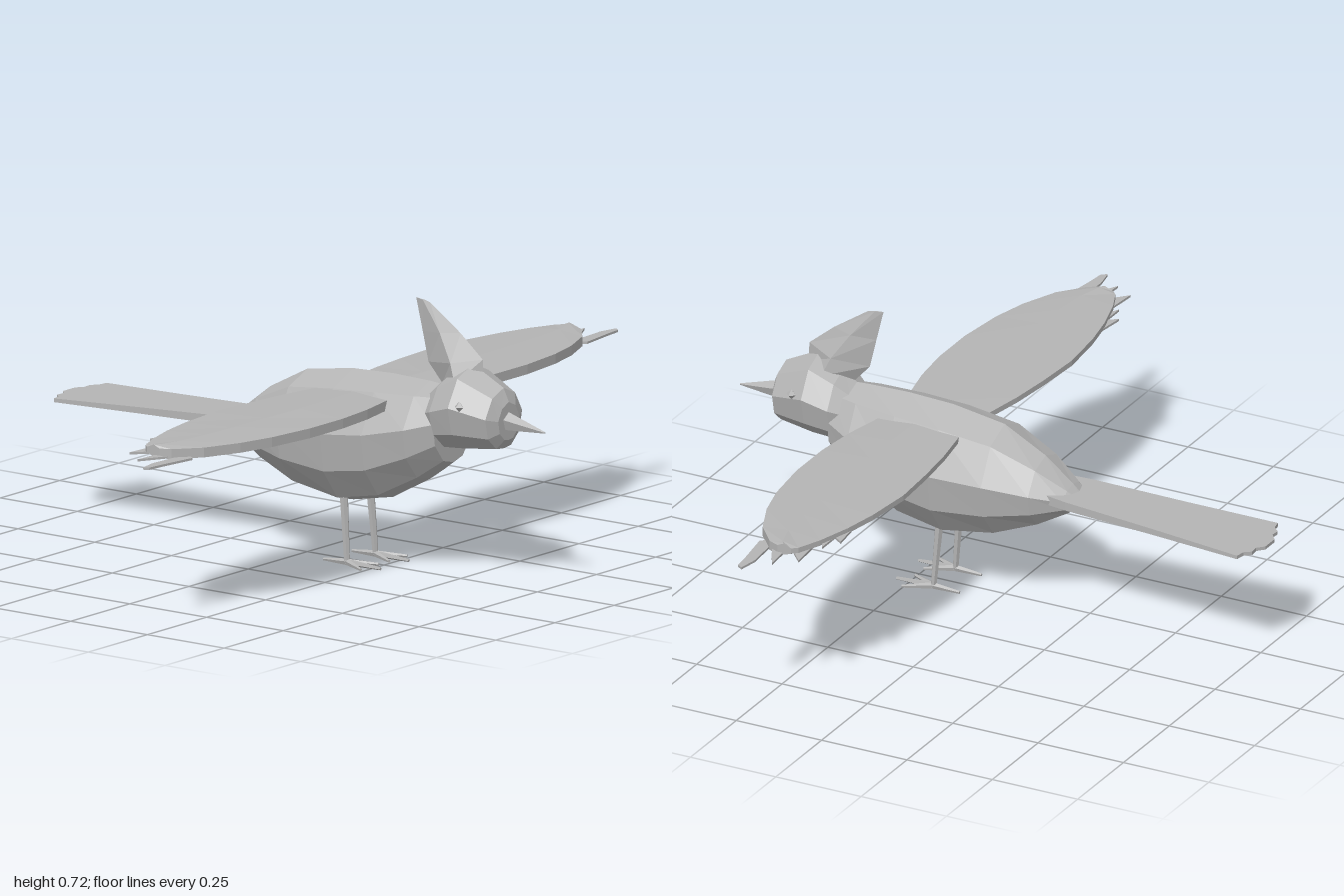
import * as THREE from 'three';

const plumage = new THREE.MeshStandardMaterial({ color: 0xb4b4b4, flatShading: true, side: THREE.DoubleSide });
plumage.name = 'plain grey';

function add(parent, geometry, name) {
  const mesh = new THREE.Mesh(geometry, plumage);
  mesh.name = name;
  parent.add(mesh);
  return mesh;
}

// Closed skin over rings of equal point count, with fan caps, faces turned outward.
function loft(rings) {
  const n = rings[0].length, tris = [];
  const centre = (r) => [0, 1, 2].map((k) => r.reduce((s, p) => s + p[k], 0) / n);
  const first = rings[0], last = rings[rings.length - 1];
  for (let j = 0; j < n; j++) {
    const k = (j + 1) % n;
    for (let i = 0; i < rings.length - 1; i++) {
      const a = rings[i], b = rings[i + 1];
      tris.push([a[j], b[j], b[k]], [a[j], b[k], a[k]]);
    }
    tris.push([centre(first), first[j], first[k]], [centre(last), last[k], last[j]]);
  }
  const v = tris.map((t) => t.map((p) => new THREE.Vector3(...p)));
  const origin = new THREE.Vector3(...centre(rings[rings.length >> 1]));
  const volume = v.reduce((s, [a, b, c]) => {
    const [p, q, r] = [a, b, c].map((w) => w.clone().sub(origin));
    return s + p.dot(q.cross(r));
  }, 0);
  if (volume < 0) v.forEach((t) => t.reverse());
  const g = new THREE.BufferGeometry().setFromPoints(v.flat());
  g.computeVertexNormals();
  return g;
}

// Stations [z, top, bottom, halfWidth] skinned with a mirrored half section [x, y] of fractions.
function hull(stations, half) {
  const section = [...half, ...half.slice(1, -1).reverse().map(([x, y]) => [-x, y])];
  return loft(stations.map(([z, top, bottom, w]) =>
    section.map(([x, y]) => [x * w, bottom + y * (top - bottom), z])));
}

// Thin horizontal plate from an outline of [x, z] points.
function plate(points, y, thickness) {
  const shape = new THREE.Shape(points.map(([x, z]) => new THREE.Vector2(x, -z)));
  const g = new THREE.ExtrudeGeometry(shape, { depth: thickness, bevelEnabled: false });
  return g.rotateX(-Math.PI / 2).translate(0, y, 0);
}

// Tapered rod between two points.
function rod(a, b, ra, rb, sides = 6) {
  const from = new THREE.Vector3(...a), to = new THREE.Vector3(...b);
  const dir = to.clone().sub(from);
  const g = new THREE.CylinderGeometry(rb, ra, dir.length(), sides);
  g.applyQuaternion(new THREE.Quaternion().setFromUnitVectors(new THREE.Vector3(0, 1, 0), dir.normalize()));
  const mid = from.add(to).multiplyScalar(0.5);
  return g.translate(mid.x, mid.y, mid.z);
}

function makeWing(s) {
  const wing = new THREE.Group();
  wing.name = s > 0 ? 'leftWing' : 'rightWing';
  // Stations [x, leading z, trailing z]
  const stations = [[0.08, 0.325, 0.09], [0.2, 0.35, 0.07], [0.32, 0.363, 0.058], [0.46, 0.363, 0.05],
    [0.6, 0.347, 0.064], [0.7, 0.322, 0.083], [0.8, 0.28, 0.112], [0.865, 0.225, 0.14], [0.878, 0.195, 0.155]];
  add(wing, loft(stations.map(([x, f, b]) => [
    [s * x, 0.437, f], [s * x, 0.463, f], [s * x, 0.471, f + (b - f) * 0.45],
    [s * x, 0.462, b], [s * x, 0.447, b], [s * x, 0.44, f + (b - f) * 0.5],
  ])), 'wingBlade');
  // Jagged flight feathers under the tip
  const feathers = [
    [[0.72, 0.24], [0.84, 0.232], [0.945, 0.225], [1.0, 0.235], [0.99, 0.25], [0.94, 0.255], [0.835, 0.27], [0.82, 0.25]],
    [[0.72, 0.2], [0.87, 0.18], [0.945, 0.175], [0.9, 0.2], [0.85, 0.225], [0.74, 0.235]],
    [[0.68, 0.15], [0.82, 0.125], [0.905, 0.118], [0.87, 0.15], [0.82, 0.185], [0.7, 0.19]],
    [[0.6, 0.12], [0.66, 0.085], [0.76, 0.073], [0.74, 0.1], [0.81, 0.1], [0.74, 0.14], [0.64, 0.15]],
  ];
  feathers.forEach((f, i) => add(wing,
    plate(f.map(([x, z]) => [s * x, z]), 0.435 + i * 0.003, 0.006), 'flightFeather'));
  return wing;
}

function makeLeg(s) {
  const leg = new THREE.Group();
  leg.name = s > 0 ? 'leftLeg' : 'rightLeg';
  const x = s * 0.06;
  add(leg, rod([x, 0.01, 0.176], [s * 0.055, 0.21, 0.16], 0.008, 0.012), 'shank');
  // Three front toes and one back toe
  for (const [dx, z] of [[0, 0.285], [0.038, 0.25], [-0.038, 0.25], [0, 0.1]]) {
    add(leg, rod([x, 0.009, 0.176], [x + dx, 0.006, z], 0.009, 0.004, 5), 'toe');
  }
  return leg;
}

export function createModel() {
  const bird = new THREE.Group();
  bird.name = 'bird';

  // Body
  add(bird, hull([
    [0.475, 0.505, 0.305, 0.085], [0.4, 0.51, 0.25, 0.115], [0.28, 0.513, 0.185, 0.136],
    [0.15, 0.508, 0.16, 0.142], [0, 0.485, 0.185, 0.132], [-0.12, 0.422, 0.235, 0.098],
    [-0.2, 0.36, 0.282, 0.056], [-0.238, 0.325, 0.31, 0.022],
  ], [[0, 1], [0.6, 0.89], [1, 0.57], [0.9, 0.28], [0.48, 0.05], [0, 0]]), 'body');

  // Head
  add(bird, hull([
    [0.657, 0.49, 0.39, 0.045], [0.64, 0.525, 0.365, 0.078], [0.54, 0.575, 0.354, 0.107],
    [0.47, 0.54, 0.348, 0.095], [0.43, 0.505, 0.36, 0.07],
  ], [[0, 1], [0.62, 0.87], [1, 0.55], [0.85, 0.22], [0.4, 0.02], [0, 0]]), 'head');

  // Beak
  add(bird, hull([
    [0.645, 0.467, 0.418, 0.027], [0.7, 0.45, 0.42, 0.017], [0.775, 0.427, 0.423, 0.002],
  ], [[0, 1], [0.95, 0.62], [0.6, 0], [0, 0]]), 'beak');

  // Crest: levels [front z, front y, back z, back y, halfWidth]
  const levels = [[0.575, 0.54, 0.44, 0.51, 0.045], [0.572, 0.59, 0.395, 0.56, 0.034],
    [0.5, 0.65, 0.376, 0.64, 0.016], [0.4, 0.718, 0.355, 0.725, 0.003]];
  add(bird, loft(levels.map(([fz, fy, bz, by, w]) => {
    const mz = fz * 0.55 + bz * 0.45, my = (fy + by) / 2;
    return [[0, fy, fz], [w, my, mz], [0, by, bz], [-w, my, mz]];
  })), 'crest');

  // Tail: fan plate with a scalloped end, thinning and sinking toward the rear
  const half = [[0.07, -0.16], [0.078, -0.22], [0.093, -0.48], [0.112, -0.74], [0.085, -0.745],
    [0.07, -0.762], [0.045, -0.76], [0.025, -0.777]];
  const tail = plate([...half, ...half.slice().reverse().map(([x, z]) => [-x, z])], 0, 1);
  const p = tail.attributes.position;
  for (let i = 0; i < p.count; i++) {
    const t = (-0.16 - p.getZ(i)) / 0.615;
    p.setY(i, p.getY(i) > 0.5 ? 0.345 - 0.025 * t : 0.32 - 0.009 * t);
  }
  tail.computeVertexNormals();
  add(bird, tail, 'tail');

  // Paired parts
  for (const s of [1, -1]) {
    bird.add(makeWing(s), makeLeg(s));
    add(bird, new THREE.OctahedronGeometry(0.014).translate(s * 0.1, 0.483, 0.572), s > 0 ? 'leftEye' : 'rightEye');
  }
  return bird;
}
